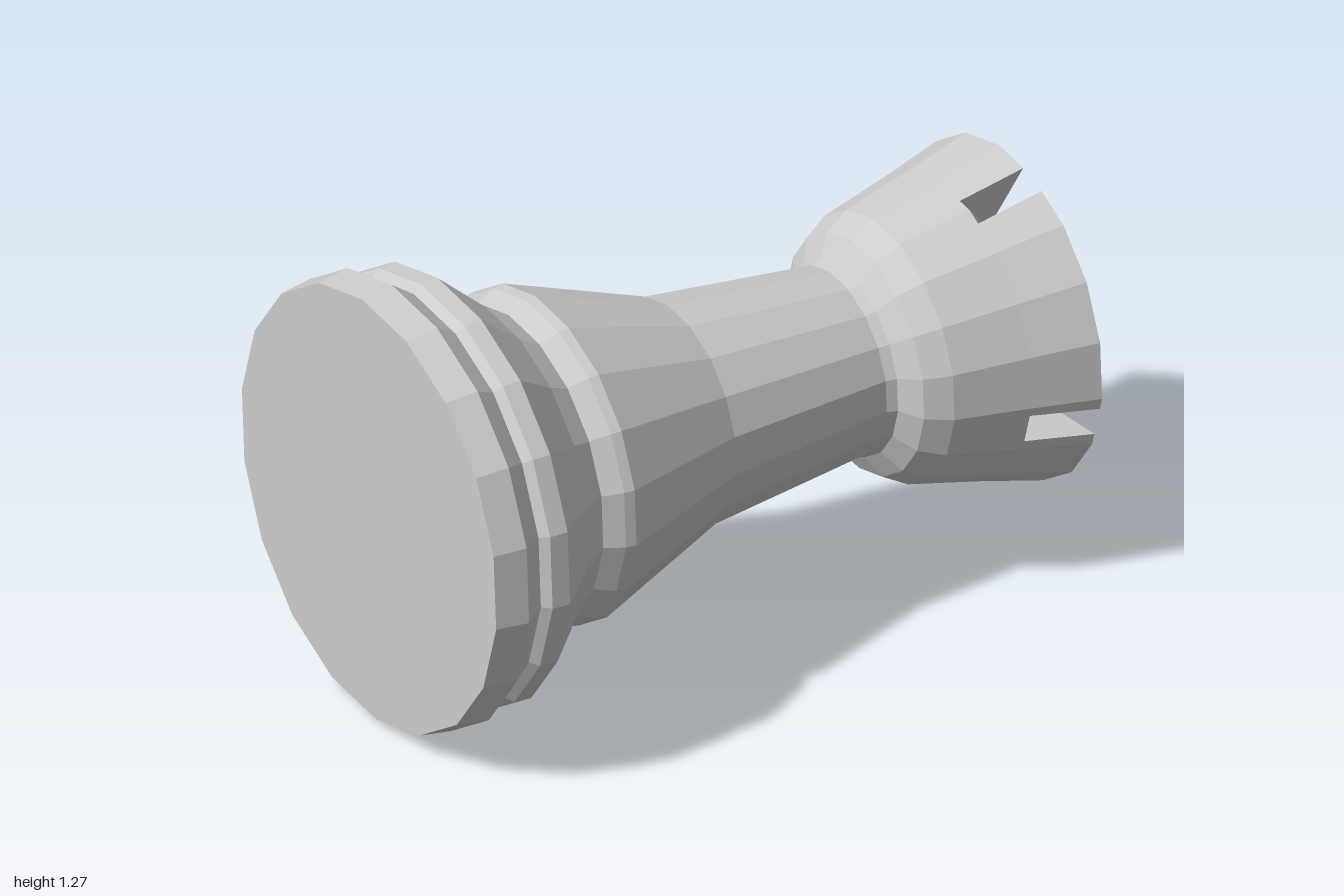
import * as THREE from 'three';

const SIDES = 18, STEP = (Math.PI * 2) / SIDES;
const START = THREE.MathUtils.degToRad(-3.2); // turn of the facets about the x axis
const CENTRE_Y = 0.634;

// Point on an 18-sided ring around the x axis; angle runs from +y towards +z
function ringPoint(x, r, a) {
  const t = (((a - START) % STEP) + STEP) % STEP;
  const d = (r * Math.cos(STEP / 2)) / Math.cos(t - STEP / 2);
  return new THREE.Vector3(x, d * Math.cos(a), d * Math.sin(a));
}

function surface() {
  const pos = [];
  const tri = (...pts) => pts.forEach((p) => pos.push(p.x, p.y, p.z));
  return {
    tri,
    strip(A, B) {
      for (let i = 0; i + 1 < A.length; i++) {
        tri(A[i], A[i + 1], B[i + 1]);
        tri(A[i], B[i + 1], B[i]);
      }
    },
    fan(c, A) {
      for (let i = 0; i + 1 < A.length; i++) tri(c, A[i], A[i + 1]);
    },
    build() {
      const g = new THREE.BufferGeometry();
      g.setAttribute('position', new THREE.Float32BufferAttribute(pos, 3));
      g.computeVertexNormals();
      return g;
    },
  };
}

export function createModel() {
  const model = new THREE.Group();
  model.name = 'chessRook';
  const grey = new THREE.MeshStandardMaterial({ color: 0xcccccc, flatShading: true });
  grey.name = 'stone grey';

  const add = (name, geometry) => {
    const mesh = new THREE.Mesh(geometry, grey);
    mesh.name = name;
    mesh.position.y = CENTRE_Y;
    model.add(mesh);
  };

  // Turned parts: [radius, position along x]
  const turned = (name, profile) => {
    const pts = profile.map(([r, x]) => new THREE.Vector2(r, x));
    const g = new THREE.LatheGeometry(pts, SIDES, START - Math.PI / 2);
    add(name, g.rotateZ(-Math.PI / 2));
  };
  turned('base', [[0, -1], [0.621, -1], [0.635, -0.905], [0.588, -0.838], [0.61, -0.815],
    [0.613, -0.762], [0.482, -0.615], [0.438, -0.545]]);
  turned('stem', [[0.438, -0.545], [0.464, -0.49], [0.469, -0.46], [0.319, -0.05],
    [0.263, 0.46], [0.272, 0.49]]);
  turned('head', [[0.272, 0.49], [0.337, 0.53], [0.377, 0.6], [0.427, 0.81]]);

  // Crown: four wedge-shaped battlements parted by parallel-sided notches
  const rings = { low: [0.81, 0.427], rim: [1, 0.477], inner: [0.925, 0.28] };
  const HALF = 0.047, QUARTER = Math.PI / 2;
  const merlons = surface(), notches = surface(), floor = surface();
  const hub = new THREE.Vector3(rings.inner[0], 0, 0);

  for (let k = 0; k < 4; k++) {
    const from = START + STEP + k * QUARTER, to = from + QUARTER;
    const corners = [];
    for (let i = 0; i < SIDES * 2; i++) {
      const a = START + i * STEP;
      if (a > from + 0.172 && a < to - 0.172) corners.push(a);
    }
    const spread = ([, r]) => Math.asin(HALF / r);
    const wall = (q) => [from + spread(q), ...corners, to - spread(q)].map((a) => ringPoint(...q, a));
    const gap = (q) => [from - spread(q), from, from + spread(q)].map((a) => ringPoint(...q, a));

    const low = wall(rings.low), rim = wall(rings.rim), inner = wall(rings.inner);
    const n = low.length - 1;
    merlons.strip(low, rim);
    merlons.strip(rim, inner);
    merlons.tri(low[0], rim[0], inner[0]);
    merlons.tri(low[n], inner[n], rim[n]);
    notches.strip(gap(rings.low), gap(rings.inner));
    floor.fan(hub, inner);
    floor.fan(hub, gap(rings.inner));
  }
  add('battlements', merlons.build());
  add('notchFloors', notches.build());
  add('crownFloor', floor.build());

  return model;
}
